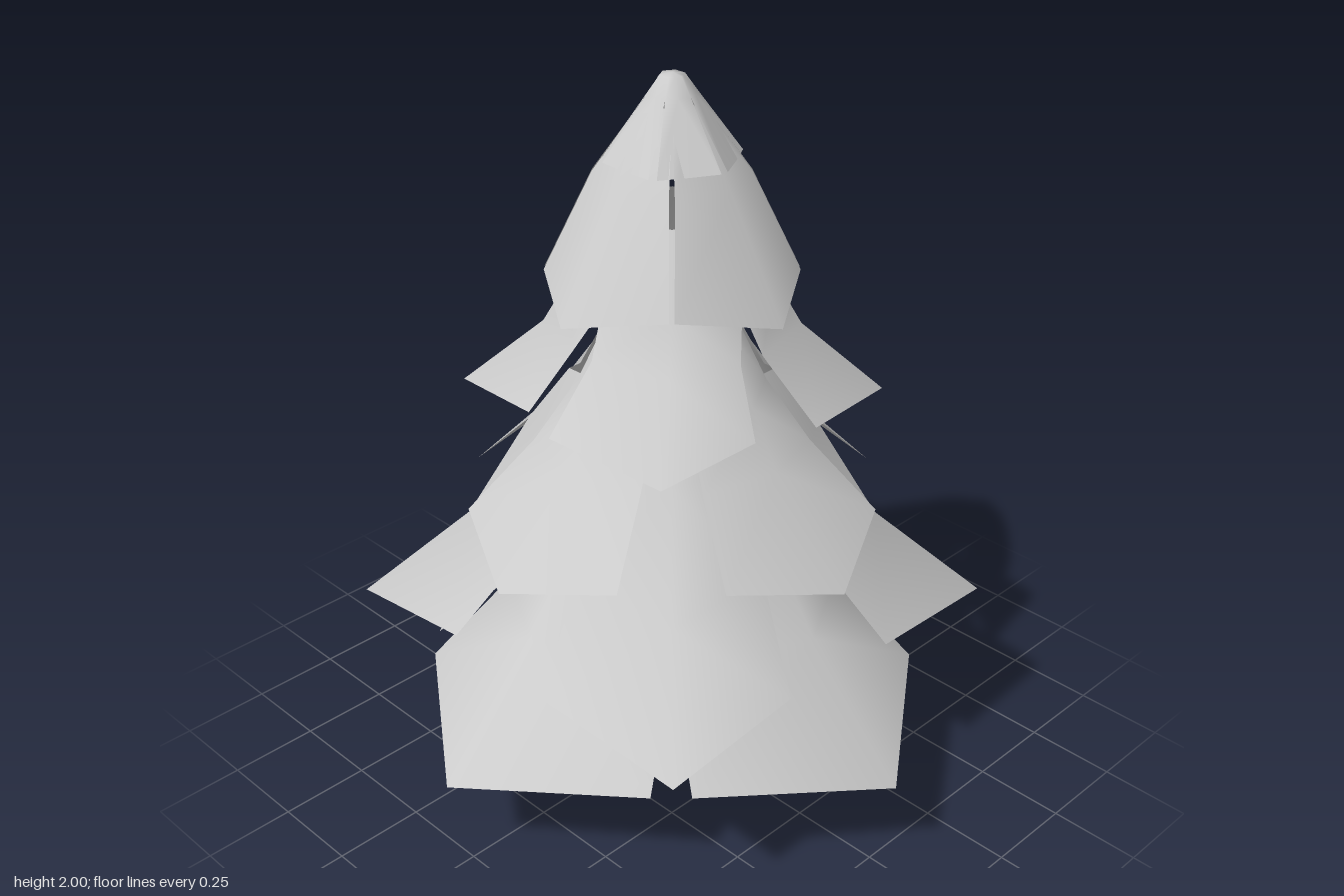
import * as THREE from 'three';
import { mergeVertices } from 'three/addons/utils/BufferGeometryUtils.js';

const material = new THREE.MeshStandardMaterial({ color: 0xcccccc, side: THREE.DoubleSide });

// A ring of equal needle sheets. Each row, from top to bottom, holds the
// left edge, ridge and right edge of one sheet as [x, y, z].
function tier(name, count, rows) {
  const positions = [], index = [];
  for (let k = 0; k < count; k++) {
    const a = (k / count) * Math.PI * 2, c = Math.cos(a), s = Math.sin(a);
    const base = positions.length / 3;
    for (const row of rows)
      for (const [x, y, z] of row) positions.push(x * c + z * s, y, z * c - x * s);
    for (let r = 0; r < rows.length - 1; r++)
      for (let i = 0; i < 2; i++) {
        const tl = base + r * 3 + i, bl = tl + 3;
        // Mirror the diagonals about the ridge
        if (i === 0) index.push(tl, bl, tl + 1, tl + 1, bl, bl + 1);
        else index.push(tl, bl, bl + 1, tl, bl + 1, tl + 1);
      }
  }
  let geometry = new THREE.BufferGeometry();
  geometry.setAttribute('position', new THREE.Float32BufferAttribute(positions, 3));
  geometry.setIndex(index);
  geometry = mergeVertices(geometry, 1e-4);
  geometry.computeVertexNormals();
  const mesh = new THREE.Mesh(geometry, material);
  mesh.name = name;
  return mesh;
}

// Row of a symmetric sheet facing +z: edge half width, depth, height; ridge depth, height
const even = (u, v, y, ridge, ridgeY = y) => [[-u, y, v], [0, ridgeY, ridge], [u, y, v]];

export function createModel() {
  const tree = new THREE.Group();
  tree.name = 'tree';

  // Six-sided trunk with corners on the x axis
  const trunk = new THREE.Mesh(
    new THREE.CylinderGeometry(0.125, 0.125, 0.38, 6, 1, false, Math.PI / 6), material);
  trunk.name = 'trunk';
  trunk.position.y = 0.19;
  tree.add(trunk);

  // Pointed cap of six small flaps
  const t = Math.tan(Math.PI / 6);
  tree.add(tier('topCap', 6, [
    even(0, 0, 2, 0),
    even(0.028 * t, 0.028, 1.995, 0.028),
    even(0.055 * t, 0.055, 1.95, 0.058),
    even(0.08, 0.16, 1.79, 0.162),
  ]));

  // Tiers whose sheets face the axes
  tree.add(tier('upperBranches', 4, [
    even(0.05, 0.05, 1.93, 0.07),
    even(0.135, 0.145, 1.75, 0.2),
    even(0.225, 0.235, 1.485, 0.38, 1.445),
  ]));
  tree.add(tier('middleBranches', 4, [
    even(0.1, 0.1, 1.4, 0.16),
    even(0.145, 0.2, 1.19, 0.29),
    even(0.2, 0.31, 1.03, 0.375, 1.04),
    even(0.285, 0.475, 0.85, 0.615, 0.785),
  ]));
  tree.add(tier('bottomBranches', 4, [
    even(0.17, 0.17, 0.96, 0.27),
    even(0.32, 0.32, 0.54, 0.52, 0.6),
    even(0.435, 0.51, 0.32, 0.82, 0.28),
  ]));

  // Tiers whose sheets face the diagonals, slightly twisted
  tree.add(tier('upperDiagonalBranches', 4, [
    [[0, 1.65, 0.13], [0.1, 1.65, 0.1], [0.13, 1.65, 0]],
    [[0, 1.45, 0.245], [0.18, 1.47, 0.18], [0.245, 1.45, 0]],
    [[0.02, 1.335, 0.3], [0.23, 1.335, 0.24], [0.295, 1.335, 0.055]],
    [[0.04, 1.19, 0.465], [0.37, 1.155, 0.405], [0.4, 1.18, 0.11]],
  ]));
  tree.add(tier('lowerDiagonalBranches', 4, [
    [[0, 1.2, 0.19], [0.19, 1.2, 0.19], [0.19, 1.2, 0]],
    [[0, 1.03, 0.285], [0.265, 1.06, 0.265], [0.285, 1.03, 0]],
    [[0.085, 0.79, 0.43], [0.39, 0.76, 0.39], [0.43, 0.79, 0.1]],
    [[0.17, 0.55, 0.627], [0.607, 0.505, 0.6], [0.615, 0.56, 0.19]],
  ]));

  return tree;
}
